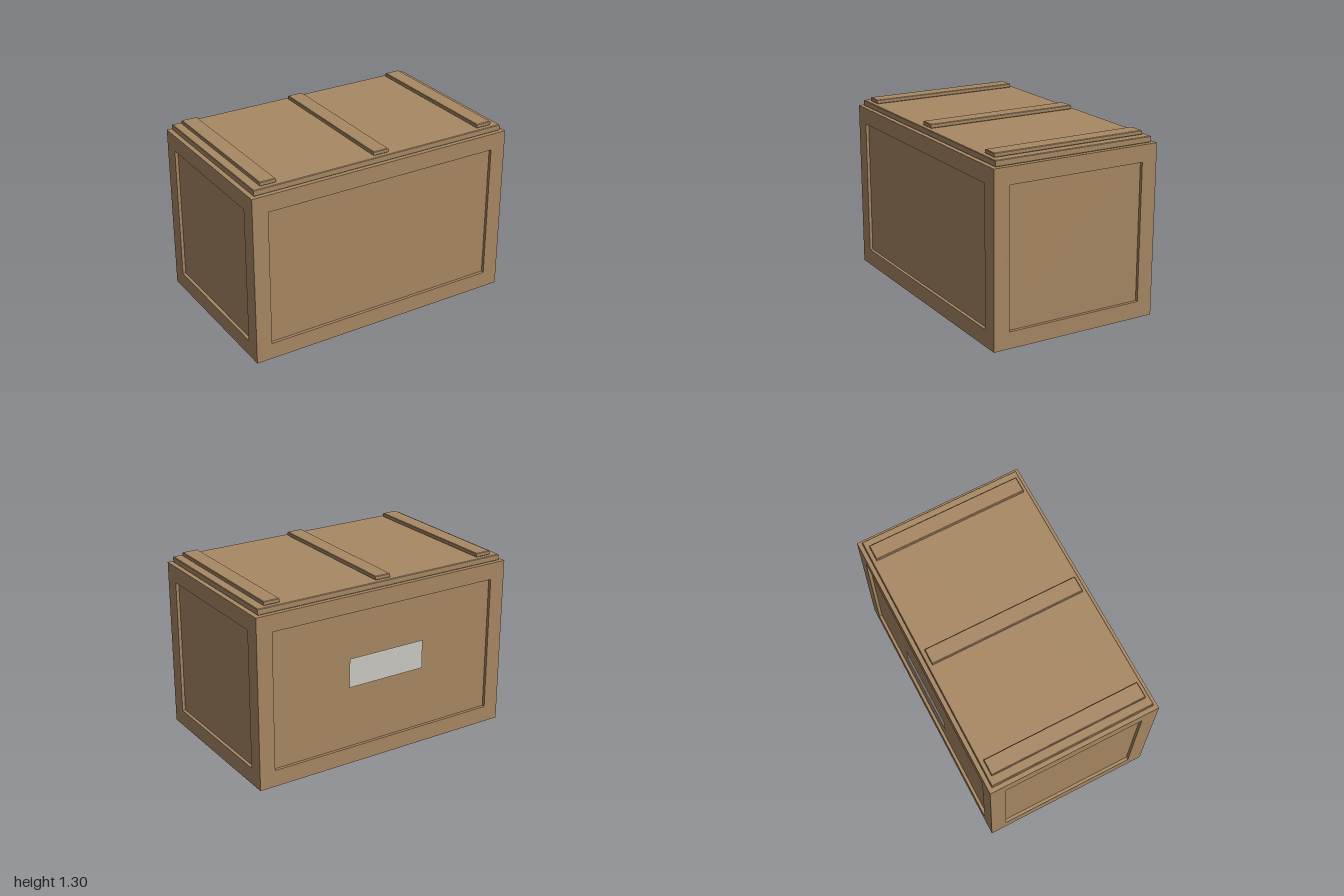
import * as THREE from 'three';

const W = 2, H = 1.23, D = 1.252; // body size
const RECESS = 0.022; // depth of the sunken panels
const BORDER = 0.115; // frame width around each panel

const wood = new THREE.MeshStandardMaterial({ color: 0xa88863 });
const paper = new THREE.MeshStandardMaterial({ color: 0xcccac4, side: THREE.DoubleSide });

function rect(PathType, x0, y0, x1, y1) {
  return new PathType([
    new THREE.Vector2(x0, y0), new THREE.Vector2(x1, y0),
    new THREE.Vector2(x1, y1), new THREE.Vector2(x0, y1),
  ]);
}

// Flat plate in XY with rectangular openings, its outer surface at z = 0
function plate(w, h, holes) {
  const shape = rect(THREE.Shape, -w / 2, -h / 2, w / 2, h / 2);
  for (const r of holes) shape.holes.push(rect(THREE.Path, ...r));
  const geo = new THREE.ExtrudeGeometry(shape, { depth: RECESS, bevelEnabled: false });
  return geo.translate(0, 0, -RECESS);
}

// Board with small chamfers on every edge, standing on y = 0
function board(w, h, d, bevel = 0.004) {
  const x = w / 2 - bevel, z = d / 2 - bevel;
  const geo = new THREE.ExtrudeGeometry(rect(THREE.Shape, -x, -z, x, z), {
    depth: h - 2 * bevel, bevelEnabled: true,
    bevelSize: bevel, bevelThickness: bevel, bevelSegments: 1,
  });
  return geo.rotateX(-Math.PI / 2).translate(0, bevel, 0);
}

export function createModel() {
  const crate = new THREE.Group();
  crate.name = 'crate';
  const add = (name, geo, x, y, z, mat = wood) => {
    const mesh = new THREE.Mesh(geo, mat);
    mesh.name = name;
    mesh.position.set(x, y, z);
    crate.add(mesh);
    return mesh;
  };

  // Inner box whose sides form the sunken panels
  const innerW = W - 2 * RECESS, innerD = D - 2 * RECESS;
  add('panels', new THREE.BoxGeometry(innerW, H - RECESS, innerD), 0, (H + RECESS) / 2, 0);

  // Frames around the front, back and side panels
  const px = W / 2 - BORDER, py = H / 2 - BORDER - 0.005, pz = D / 2 - BORDER;
  const longFrame = plate(W, H, [[-px, -py, px, py]]);
  const sideFrame = plate(innerD, H, [[-pz, -py, pz, py]]);
  add('frontFrame', longFrame, 0, H / 2, D / 2);
  add('backFrame', longFrame, 0, H / 2, -D / 2).rotation.y = Math.PI;
  add('leftFrame', sideFrame, W / 2, H / 2, 0).rotation.y = Math.PI / 2;
  add('rightFrame', sideFrame, -W / 2, H / 2, 0).rotation.y = -Math.PI / 2;

  // Underside with a narrow groove along each edge
  const grooves = [];
  for (const s of [-1, 1]) {
    const z = s * (D / 2 - 0.05), x = s * (W / 2 - 0.05);
    grooves.push([-px, z - 0.012, px, z + 0.012], [x - 0.012, -pz, x + 0.012, pz]);
  }
  add('bottom', plate(innerW, innerD, grooves), 0, 0, 0).rotation.x = Math.PI / 2;

  // Lid with three battens
  add('lid', board(1.94, 0.043, 1.195), 0, H, 0);
  const batten = board(0.116, 0.029, 1.136);
  for (const x of [-0.852, 0, 0.852]) add('batten', batten, x, H + 0.043, 0);

  // Blank label on the back
  add('label', new THREE.PlaneGeometry(0.6, 0.21), 0, 0.68, -D / 2 - 0.002, paper).rotation.y = Math.PI;

  return crate;
}
